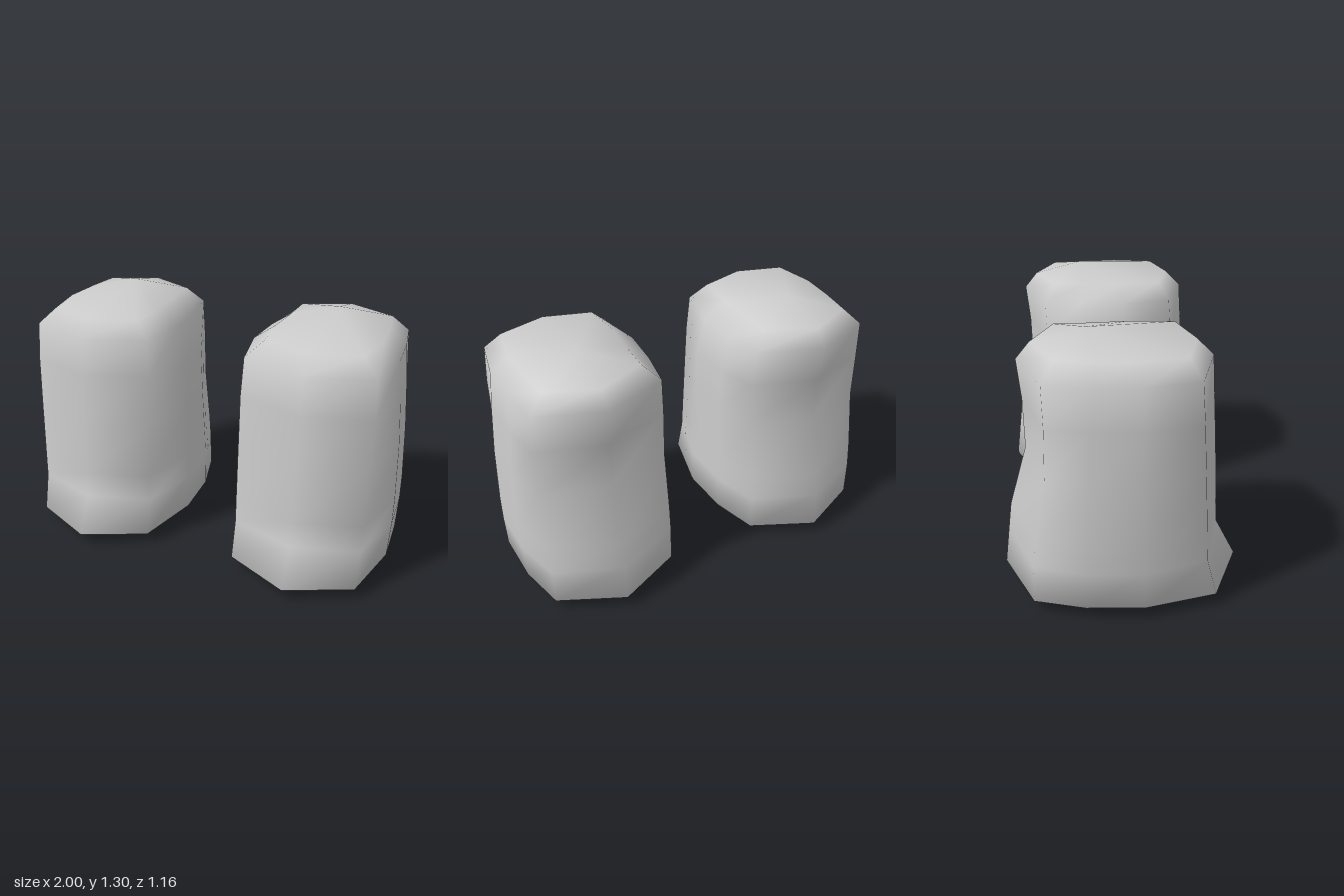
import * as THREE from 'three';

// Rings from sole to top:
// y, outer reach, inner reach, corner reach, then z of front, front corner, back corner, back
const RINGS = [
  [0.00, 0.24, 0.25, 0.22, 0.44, 0.34, -0.34, -0.44],
  [0.065, 0.41, 0.415, 0.33, 0.58, 0.43, -0.43, -0.58],
  [0.26, 0.418, 0.417, 0.33, 0.48, 0.38, -0.425, -0.557],
  [0.40, 0.418, 0.416, 0.33, 0.472, 0.372, -0.41, -0.54],
  [0.71, 0.407, 0.414, 0.33, 0.452, 0.352, -0.36, -0.455],
  [0.96, 0.387, 0.41, 0.33, 0.434, 0.335, -0.355, -0.46],
  [1.155, 0.365, 0.37, 0.32, 0.42, 0.32, -0.36, -0.48],
  [1.235, 0.28, 0.26, 0.24, 0.34, 0.27, -0.31, -0.415],
];
const SIDES = 10;

function bootGeometry(side) {
  const pos = [], index = [];
  for (const [y, outer, inner, corner, zf, zfc, zbc, zb] of RINGS) {
    const px = side > 0 ? outer : inner;
    const nx = side > 0 ? inner : outer;
    const z1 = zfc * 0.2, z2 = zbc * 0.44;
    const ring = [
      [0, zf], [corner, zfc], [px, z1], [px - 0.015, z2], [corner, zbc],
      [0, zb], [-corner, zbc], [-nx + 0.015, z2], [-nx, z1], [-corner, zfc],
    ];
    for (const [x, z] of ring) pos.push(x, y, z);
  }
  // Wall between neighbouring rings
  for (let i = 0; i < RINGS.length - 1; i++) {
    for (let j = 0; j < SIDES; j++) {
      const a = i * SIDES + j, b = i * SIDES + (j + 1) % SIDES;
      index.push(a, b, b + SIDES, a, b + SIDES, a + SIDES);
    }
  }
  // Flat sole and peaked top
  const sole = pos.length / 3, peak = sole + 1, last = (RINGS.length - 1) * SIDES;
  pos.push(0, 0, 0, 0, 1.3, -0.16);
  for (let j = 0; j < SIDES; j++) {
    const k = (j + 1) % SIDES;
    index.push(sole, k, j, peak, last + j, last + k);
  }
  const geometry = new THREE.BufferGeometry();
  geometry.setAttribute('position', new THREE.Float32BufferAttribute(pos, 3));
  geometry.setIndex(index);
  geometry.computeVertexNormals();
  return geometry;
}

export function createModel() {
  const group = new THREE.Group();
  group.name = 'bootPair';
  const material = new THREE.MeshStandardMaterial({ color: 0xcccccc });
  for (const side of [1, -1]) {
    const boot = new THREE.Mesh(bootGeometry(side), material);
    boot.name = side > 0 ? 'leftBoot' : 'rightBoot';
    boot.position.x = side * 0.58;
    group.add(boot);
  }
  return group;
}
